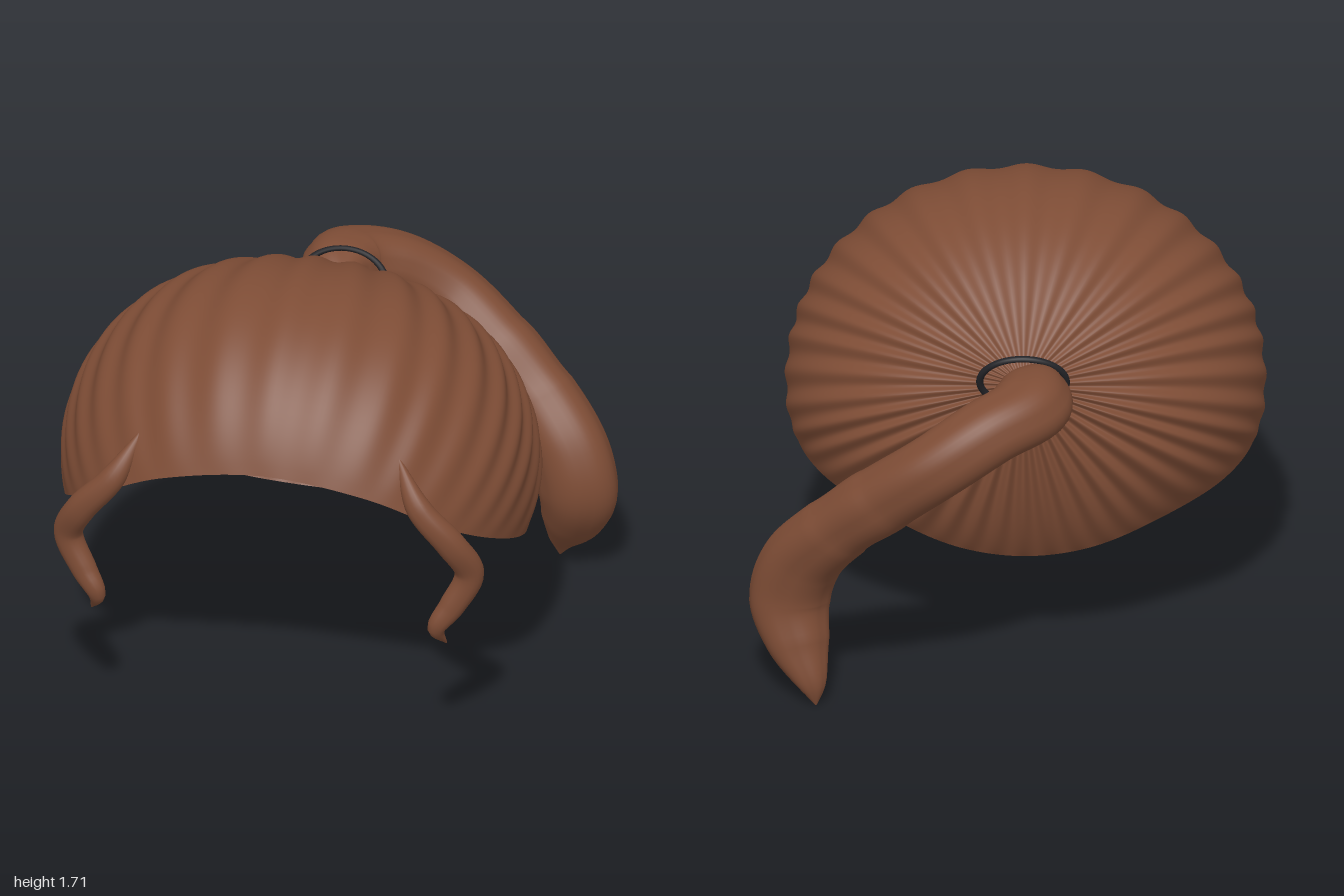
import * as THREE from 'three';

const V = (x, y, z) => new THREE.Vector3(x, y, z);
const MID_X = -0.07; // mirror plane of the hair cap
const hair = new THREE.MeshStandardMaterial({ color: 0x7d4c35, side: THREE.DoubleSide });
const elastic = new THREE.MeshStandardMaterial({ color: 0x222226 });

// Smooth surface from rows of points, each row a closed ring of `cols` points
function ringSurface(name, rows, cols, pointAt) {
  const pos = [], index = [];
  for (let i = 0; i <= rows; i++) {
    for (let j = 0; j < cols; j++) {
      pos.push(...pointAt(i, j).toArray());
      if (i === rows) continue;
      const k = (j + 1) % cols;
      const a = i * cols + j, b = i * cols + k, c = a + cols, d = b + cols;
      index.push(a, b, c, b, d, c);
    }
  }
  const geo = new THREE.BufferGeometry();
  geo.setAttribute('position', new THREE.Float32BufferAttribute(pos, 3));
  geo.setIndex(index);
  geo.computeVertexNormals();
  const mesh = new THREE.Mesh(geo, hair);
  mesh.name = name;
  return mesh;
}

// Tapered strand: each knot is [x, y, z, radius]; lobes give shallow lengthwise creases,
// flat squeezes the section in y and z
function strand(name, knots, rows, cols, lobes, depth, flat) {
  const path = new THREE.CatmullRomCurve3(knots.map(k => V(k[0], k[1], k[2])));
  const radii = new THREE.CatmullRomCurve3(knots.map(k => V(k[3], 0, 0)));
  const { normals, binormals } = path.computeFrenetFrames(rows);
  const squeeze = V(1, flat, flat);
  return ringSurface(name, rows, cols, (i, j) => {
    const t = path.getUtoTmapping(i / rows);
    const a = (j / cols) * Math.PI * 2;
    const crease = 1 - depth + 2 * depth * Math.abs(Math.cos(a * lobes / 2));
    const r = Math.max(0.002, radii.getPoint(t).x) * crease;
    return V(0, 0, 0)
      .addScaledVector(normals[i], Math.cos(a) * r)
      .addScaledVector(binormals[i], Math.sin(a) * r)
      .multiply(squeeze)
      .add(path.getPoint(t));
  });
}

// Pleated cap: meridians sweep round the head from the knot to the hairline
function hairCap() {
  const centre = V(MID_X, 0.85, 0.25);
  const half = [
    [0, 1.2, 1.0], [0.4, 1.13, 0.97], [0.67, 0.98, 0.86], [0.83, 0.84, 0.65],
    [0.89, 0.69, 0.3], [0.77, 0.64, -0.08], [0.5, 0.53, -0.24],
    [0.25, 0.455, -0.325], [0, 0.43, -0.35],
  ];
  const rimPoint = (p, s) => V(MID_X + s * p[0], p[1], p[2]).sub(centre);
  const rim = new THREE.CatmullRomCurve3([
    ...half.map(p => rimPoint(p, -1)),
    ...half.slice(1, -1).reverse().map(p => rimPoint(p, 1)),
  ], true);
  const pole = V(MID_X, 1.2, -0.445).sub(centre);
  const poleR = pole.length(), poleDir = pole.clone().normalize();
  const rows = 44, cols = 456, pleats = 38;
  const { lerp } = THREE.MathUtils;

  return ringSurface('hairCap', rows, cols, (i, j) => {
    const t = i / rows, u = j / cols;
    const end = rim.getPoint(u), endR = end.length();
    const dir = end.normalize();
    const angle = poleDir.angleTo(dir);
    const top = 0.5 + 0.5 * Math.cos(u * Math.PI * 2); // 1 over the crown, 0 at the nape
    const side = Math.min(1, top * 2);
    const arch = Math.sin(Math.PI * t);
    const bulge = lerp(-0.03, 0.06, side) * arch;
    const pinch = lerp(0.2, 0.9, side) * t * (1 - t) ** 5 + 0.035 * Math.sin(u * Math.PI * 2) ** 2 * arch * (1 - t);
    const pleat = lerp(0.014, 0.009, top) * arch ** 0.8 * Math.cos(u * Math.PI * 2 * pleats);
    const r = lerp(poleR, endR, t) + bulge - pinch + pleat;
    return V(0, 0, 0)
      .addScaledVector(poleDir, Math.sin((1 - t) * angle) / Math.sin(angle))
      .addScaledVector(dir, Math.sin(t * angle) / Math.sin(angle))
      .multiplyScalar(r).add(centre);
  });
}

export function createModel() {
  const group = new THREE.Group();
  group.name = 'ponytailHair';
  group.add(hairCap());

  // Ponytail
  group.add(strand('ponytail', [
    [-0.08, 1.23, -0.46, 0.04], [-0.085, 1.25, -0.51, 0.075], [-0.11, 1.255, -0.6, 0.135],
    [-0.09, 1.23, -0.72, 0.16], [0.06, 1.18, -0.825, 0.155], [0.25, 1.06, -0.87, 0.152],
    [0.45, 0.9, -0.815, 0.155], [0.65, 0.72, -0.735, 0.155], [0.78, 0.55, -0.66, 0.158],
    [0.825, 0.38, -0.64, 0.155], [0.79, 0.22, -0.7, 0.122], [0.735, 0.08, -0.775, 0.055],
    [0.72, 0.005, -0.79, 0.004],
  ], 90, 40, 5, 0.03, 0.8));

  // Hair tie
  const tie = new THREE.Mesh(new THREE.TorusGeometry(0.166, 0.014, 12, 56), elastic);
  tie.name = 'hairTie';
  tie.scale.y = 0.76;
  tie.position.set(MID_X, 1.25, -0.515);
  tie.rotation.x = -0.365;
  group.add(tie);

  // Face-framing locks, mirrored
  const lock = [
    [0.43, 1.26, 0.84, 0.006], [0.53, 1.08, 0.91, 0.05], [0.655, 0.93, 0.9, 0.058],
    [0.715, 0.79, 0.85, 0.056], [0.65, 0.65, 0.87, 0.05], [0.595, 0.56, 0.895, 0.035],
    [0.625, 0.475, 0.85, 0.003],
  ];
  group.add(strand('leftLock', lock, 48, 20, 3, 0.04, 0.95));
  group.add(strand('rightLock', lock.map(([x, ...k]) => [2 * MID_X - x, ...k]), 48, 20, 3, 0.04, 0.95));
  return group;
}
